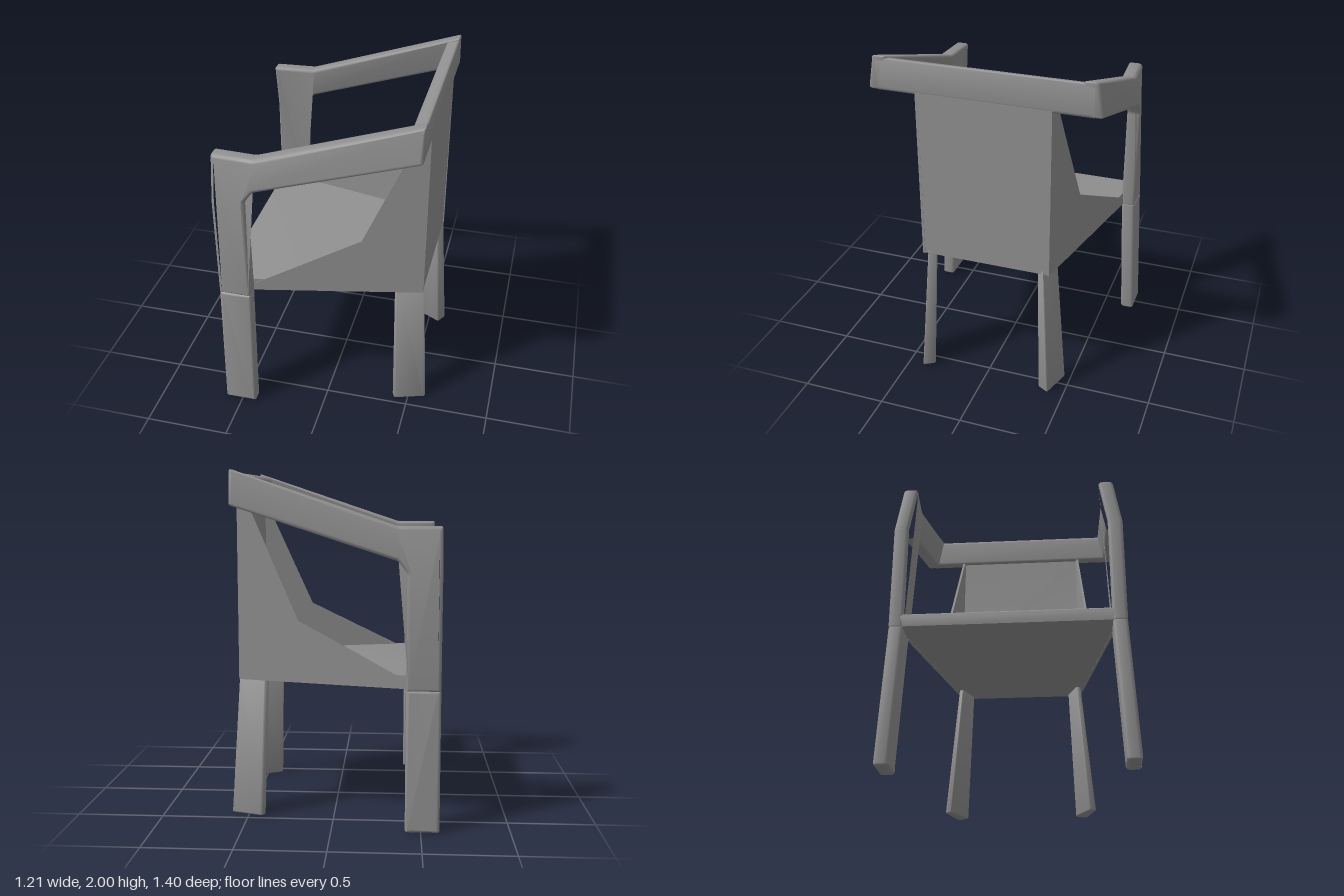
import * as THREE from 'three';
import { toCreasedNormals } from 'three/addons/utils/BufferGeometryUtils.js';

const gray = new THREE.MeshStandardMaterial({ color: 0x909090 });
gray.name = 'gray';

// outline with small rounded corners
function outline(pts, r) {
  const v = pts.map(([x, y]) => new THREE.Vector2(x, y));
  const shape = new THREE.Shape();
  v.forEach((p, i) => {
    const toward = (q) => p.clone().add(q.clone().sub(p).setLength(r));
    const a = toward(v[(i + v.length - 1) % v.length]);
    const b = toward(v[(i + 1) % v.length]);
    if (i === 0) shape.moveTo(a.x, a.y); else shape.lineTo(a.x, a.y);
    shape.quadraticCurveTo(p.x, p.y, b.x, b.y);
  });
  shape.closePath();
  return shape;
}

// slab of the given thickness centred on z = 0, edges softened by the bevel
function slab(shape, depth, bevel = 0) {
  const geo = new THREE.ExtrudeGeometry(shape, {
    depth: depth - 2 * bevel, curveSegments: 4, bevelEnabled: bevel > 0,
    bevelSize: bevel, bevelThickness: bevel, bevelOffset: -bevel, bevelSegments: 3,
  });
  return geo.translate(0, 0, -depth / 2 + bevel);
}

// move every vertex by a rule
function bend(geo, rule) {
  const pos = geo.attributes.position;
  const p = new THREE.Vector3();
  for (let i = 0; i < pos.count; i++) {
    rule(p.fromBufferAttribute(pos, i));
    pos.setXYZ(i, p.x, p.y, p.z);
  }
  return geo;
}

// half-width of the seat shell, narrowing toward the back
const halfWidth = (x) => 0.395 + 0.206 * (0.5 - x);

export function createModel() {
  const chair = new THREE.Group();
  chair.name = 'armchair';
  const add = (name, geo, crease = 0.7) => {
    const mesh = new THREE.Mesh(toCreasedNormals(geo, crease), gray);
    mesh.name = name;
    chair.add(mesh);
  };

  // seat and backrest as one folded shell
  const shell = new THREE.Shape();
  shell.moveTo(-0.6, 0.795);
  shell.lineTo(0.55, 0.8);
  shell.lineTo(0.555, 1.82);
  shell.lineTo(0.5, 1.82);
  shell.lineTo(0.49, 1.02);
  shell.quadraticCurveTo(0.485, 0.865, 0.32, 0.86);
  shell.lineTo(-0.59, 0.872);
  shell.quadraticCurveTo(-0.605, 0.87, -0.605, 0.85);
  shell.closePath();
  add('seatAndBack', bend(slab(shell, 2), (p) => { p.z *= halfWidth(p.x); }));

  // beam across the top of the backrest
  const beam = outline([[0.478, 1.785], [0.556, 1.8], [0.556, 1.99], [0.478, 1.965]], 0.02);
  add('backBeam', slab(beam, 1.22));

  for (const [side, s] of [['Left', 1], ['Right', -1]]) {
    // thin side panel following the taper of the shell
    const panel = new THREE.Shape([
      [-0.43, 0.793], [0.555, 0.8], [0.555, 1.82], [0.48, 1.79], [0.2, 1.155], [-0.43, 0.83],
    ].map(([x, y]) => new THREE.Vector2(x, y)));
    add('sidePanel' + side, bend(slab(panel, 0.014), (p) => { p.z += s * (halfWidth(p.x) - 0.003); }));

    // front post and armrest, the arm leaning inward at its top
    const arm = outline([
      [-0.605, 0.79], [-0.412, 0.79], [-0.412, 1.44], [-0.365, 1.505],
      [0.556, 1.805], [0.556, 2.0], [-0.36, 1.692], [-0.605, 1.692], [-0.605, 1.43],
    ], 0.012);
    add('armFrame' + side, bend(slab(arm, 0.086, 0.02), (p) => {
      const rise = Math.max(0, p.y - (1.5 + 0.33 * (p.x + 0.36)));
      p.z += s * (0.62 - 0.17 * rise);
    }));

    // front leg, splayed outward
    const leg = outline([[-0.605, 0], [-0.412, 0], [-0.412, 0.8], [-0.605, 0.8]], 0.012);
    add('frontLeg' + side, bend(slab(leg, 0.084, 0.02), (p) => {
      p.z += s * (0.658 - 0.038 * p.y / 0.8);
    }));

    // back leg: turned plank, splayed back and outward
    const plank = outline(
      [[0.4, 0.425], [0.42, 0.465], [0.608, 0.405], [0.568, 0.335]].map(([x, z]) => [x, -s * z]), 0.014);
    const backLeg = slab(plank, 0.82, 0.008).rotateX(-Math.PI / 2).translate(0, 0.41, 0);
    add('backLeg' + side, bend(backLeg, (p) => {
      const t = p.y / 0.8;
      const z = Math.abs(p.z);
      p.x += t * (0.38 + (p.x - 0.4) * 0.87 - p.x);
      p.z = s * (z + t * (0.312 + (z - 0.34) * 0.65 - z));
    }));
  }
  return chair;
}
